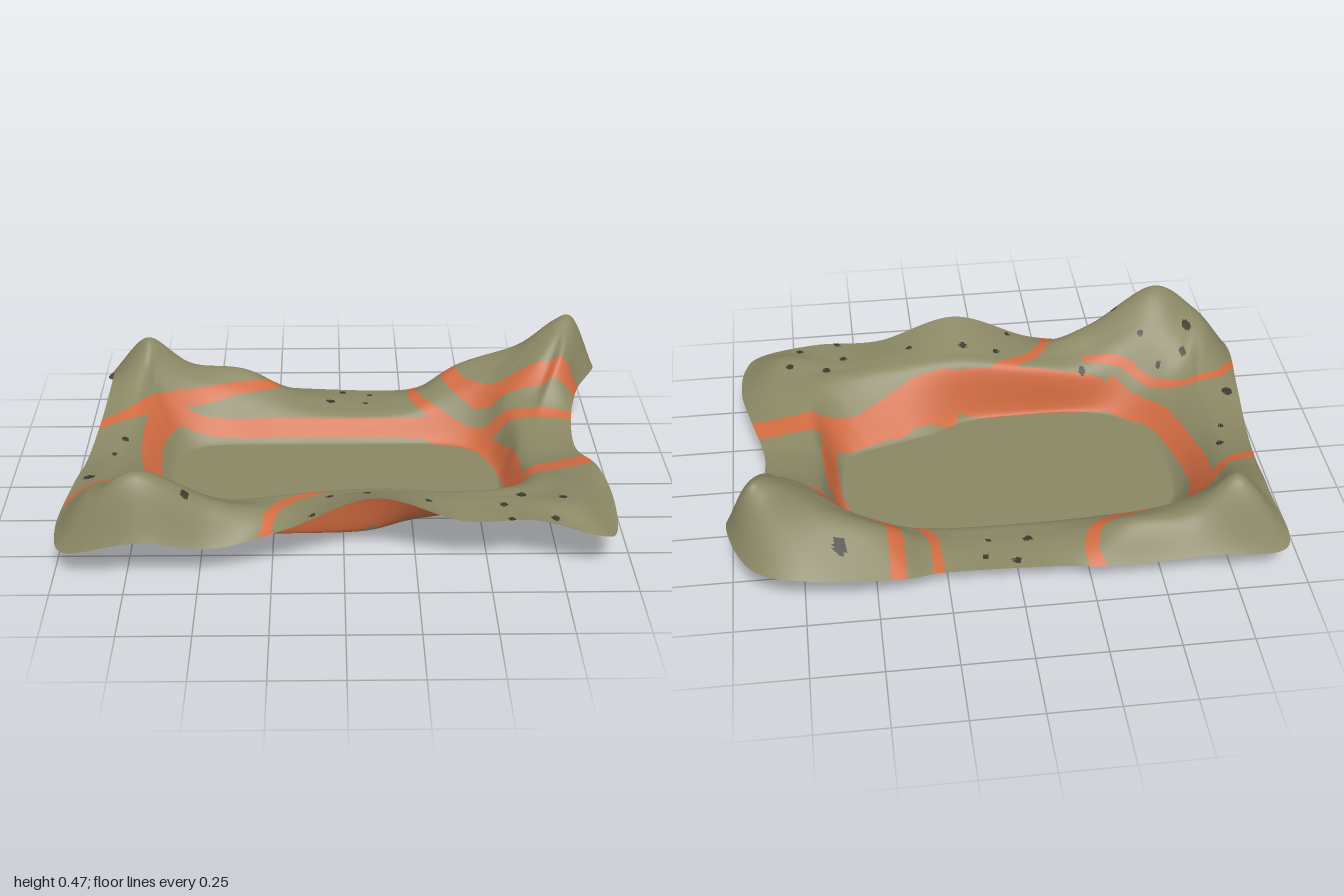
import * as THREE from 'three';

const mat = (name, color) => new THREE.MeshStandardMaterial({ name, color, side: THREE.DoubleSide });

// Control loops (x, y, z), starting at +x and turning towards +z
const FLOOR_EDGE = [
  .59, 0, 0, .58, 0, .1, .55, 0, .16, .49, 0, .19, .42, 0, .21, .33, 0, .235, .23, 0, .265,
  .08, 0, .335, -.15, 0, .35, -.33, 0, .345, -.46, 0, .31, -.54, 0, .26, -.59, 0, .19, -.625, 0, .1,
  -.64, 0, -.02, -.64, 0, -.14, -.62, 0, -.24, -.56, 0, -.31, -.44, 0, -.335, -.25, 0, -.335, -.04, 0, -.335,
  .2, 0, -.335, .34, 0, -.335, .44, 0, -.32, .51, 0, -.29, .56, 0, -.23, .58, 0, -.17, .59, 0, -.08,
];
const WALL_TOP = [
  .66, .12, 0, .68, .15, .14, .68, .18, .26, .64, .195, .34, .57, .2, .38, .47, .2, .4, .33, .205, .415,
  .1, .215, .415, -.18, .185, .395, -.38, .15, .385, -.55, .14, .375, -.64, .12, .33, -.69, .1, .25, -.73, .09, .13,
  -.75, .09, -.02, -.74, .11, -.18, -.7, .13, -.32, -.66, .15, -.4, -.5, .11, -.425, -.27, .09, -.41, -.05, .085, -.41,
  .22, .09, -.41, .38, .12, -.42, .52, .17, -.42, .6, .21, -.4, .64, .21, -.34, .66, .17, -.27, .67, .14, -.15,
];
const SHOULDER = [
  .72, .145, 0, .74, .165, .15, .75, .195, .3, .73, .205, .4, .67, .21, .45, .55, .21, .46, .36, .22, .475,
  .1, .24, .475, -.19, .2, .46, -.41, .205, .47, -.64, .3, .48, -.76, .26, .43, -.8, .2, .36, -.79, .14, .19,
  -.8, .125, -.01, -.785, .155, -.21, -.74, .21, -.39, -.71, .26, -.48, -.56, .205, -.51, -.34, .17, -.51, -.1, .105, -.48,
  .23, .105, -.47, .42, .18, -.48, .6, .26, -.46, .71, .33, -.43, .78, .355, -.385, .76, .24, -.295, .73, .175, -.19,
];
const FLAP_RIDGE = [
  .78, .15, 0, .8, .175, .17, .83, .2, .34, .83, .21, .48, .76, .22, .54, .6, .21, .53, .37, .22, .54,
  .1, .265, .54, -.2, .2, .53, -.44, .25, .58, -.69, .39, .615, -.84, .31, .58, -.88, .26, .46, -.85, .17, .25,
  -.84, .14, 0, -.83, .18, -.25, -.79, .29, -.47, -.755, .36, -.57, -.6, .235, -.6, -.38, .21, -.59, -.14, .115, -.55,
  .24, .11, -.54, .47, .24, -.56, .7, .33, -.55, .85, .44, -.55, .9, .46, -.52, .86, .37, -.37, .8, .2, -.22,
];
const OUTER_EDGE = [
  .87, .16, 0, .92, .19, .2, .95, .17, .38, .94, .14, .58, .87, .16, .65, .65, .21, .63, .4, .21, .63,
  .1, .3, .63, -.2, .18, .63, -.45, .13, .67, -.7, .18, .715, -.95, .11, .66, -1, .13, .52, -.97, .15, .25,
  -.95, .12, 0, -.92, .17, -.25, -.9, .23, -.5, -.93, .12, -.69, -.65, .125, -.705, -.33, .095, -.685, -.12, .09, -.655,
  .25, .09, -.64, .42, .12, -.69, .72, .17, -.72, .92, .19, -.66, 1, .26, -.5, .92, .23, -.35, .88, .19, -.2,
];

// Stripes seen from above: half width, then x, z points
const STRIPES = [
  [.036, -.66, -.38, -.71, -.28, -.725, -.15, -.7, .05, -.64, .22, -.5, .34],
  [.026, -.53, .32, -.42, .355, -.2, .372, 0, .375],
  [.03, -.12, .376, 0, .376, .2, .376],
  [.055, .17, .355, .28, .34, .38, .29],
  [.04, .38, .285, .5, .24, .63, .185],
  [.028, .63, .19, .63, 0, .605, -.15, .53, -.3, .35, -.37],
  [.024, .35, -.375, 0, -.38, -.4, -.38, -.66, -.38],
  [.042, .36, .32, .5, .25, .65, .2, .9, .13],
  [.02, .29, -.72, .29, -.52, .35, -.42, .49, -.34, .62, -.28, .74, -.225, .9, -.195],
  [.028, .43, -.72, .43, -.54, .49, -.45, .59, -.39, .73, -.35, .95, -.325],
  [.024, -.28, -.7, -.25, -.62, -.3, -.53, -.48, -.48, -.68, -.4, -.8, -.27, -.94, -.2],
  [.014, -.98, .38, -.9, .29, -.78, .275, -.65, .33, -.55, .4, -.4, .435],
  [.021, -.27, .65, -.25, .55, -.18, .46, -.05, .4],
];

// Specks: x, z, radius
const SPECKS = [
  [.01, -.61, .015], [.12, -.58, .011], [-.04, -.51, .014], [.1, -.5, .009], [.62, -.63, .023],
  [-.82, -.11, .013], [-.85, 0, .01], [-.92, .2, .02], [-.78, .39, .014], [-.81, .48, .019],
  [-.68, .37, .01], [-.62, .46, .01], [-.38, .395, .013], [-.54, .6, .014], [-.05, .48, .012],
  [.08, .5, .014], [-.11, .6, .01], [.29, .53, .01], [.62, .45, .015], [.76, .48, .014],
  [.55, .52, .014], [.57, .62, .013], [.72, .6, .014],
];

const toCurve = (nums) => {
  const pts = [];
  for (let i = 0; i < nums.length; i += 3) pts.push(new THREE.Vector3().fromArray(nums, i));
  return new THREE.CatmullRomCurve3(pts, true, 'catmullrom', 0.5);
};

// Smooth each stripe into a short polyline
const stripePaths = STRIPES.map(([half, ...p]) => {
  const pts = [];
  for (let i = 0; i < p.length; i += 2) pts.push(new THREE.Vector2(p[i], p[i + 1]));
  return { half, pts: new THREE.SplineCurve(pts).getPoints(pts.length * 4) };
});

function segmentDistance(x, z, a, b) {
  const dx = b.x - a.x, dz = b.y - a.y;
  const t = THREE.MathUtils.clamp(((x - a.x) * dx + (z - a.y) * dz) / (dx * dx + dz * dz), 0, 1);
  return Math.hypot(x - a.x - t * dx, z - a.y - t * dz);
}

// 0 = cloth, 1 = stripe, 2 = speck
function paintAt(x, z) {
  if (SPECKS.some(([sx, sz, r]) => Math.hypot(x - sx, z - sz) < r)) return 2;
  const hit = stripePaths.some(({ half, pts }) =>
    pts.some((p, i) => i > 0 && segmentDistance(x, z, pts[i - 1], p) < half));
  return hit ? 1 : 0;
}

// Floor, wall and flaps lofted outwards through the control loops
function sheetGeometry(loops, around, across) {
  const pos = [], faces = [[], [], []];
  for (let i = 0; i < around; i++) {
    const section = new THREE.CatmullRomCurve3(
      loops.map((c) => c.getPoint(i / around)), false, 'centripetal');
    for (let j = 0; j <= across; j++) {
      const p = section.getPoint(j / across);
      pos.push(p.x, Math.max(0, p.y), p.z);
    }
  }
  const centre = pos.length / 3;
  pos.push(0, 0, 0);
  const row = across + 1;
  const addFace = (...f) => {
    const mid = (k) => f.reduce((s, v) => s + pos[v * 3 + k], 0) / 3;
    faces[paintAt(mid(0), mid(2))].push(...f);
  };
  for (let i = 0; i < around; i++) {
    const next = ((i + 1) % around) * row;
    addFace(centre, next, i * row);
    for (let j = 0; j < across; j++) {
      const a = i * row + j, b = next + j;
      addFace(a, b, a + 1);
      addFace(b, b + 1, a + 1);
    }
  }
  const geo = new THREE.BufferGeometry();
  geo.setAttribute('position', new THREE.Float32BufferAttribute(pos, 3));
  geo.setIndex(faces.flat());
  let start = 0;
  faces.forEach((f, m) => {
    geo.addGroup(start, f.length, m);
    start += f.length;
  });
  geo.computeVertexNormals();
  return geo;
}

export function createModel() {
  const group = new THREE.Group();
  group.name = 'clothTray';
  const olive = mat('olive', 0x8a8764);
  const orange = mat('orange', 0xd06b41);
  const dark = mat('darkSpeck', 0x3a3a2c);

  // One folded sheet; the innermost loop keeps the floor flat up to its edge
  const floorInner = FLOOR_EDGE.map((v) => v * 0.9);
  const loops = [floorInner, FLOOR_EDGE, WALL_TOP, SHOULDER, FLAP_RIDGE, OUTER_EDGE].map(toCurve);
  const sheet = new THREE.Mesh(sheetGeometry(loops, 600, 95), [olive, orange, dark]);
  sheet.name = 'foldedSheet';
  group.add(sheet);
  return group;
}
